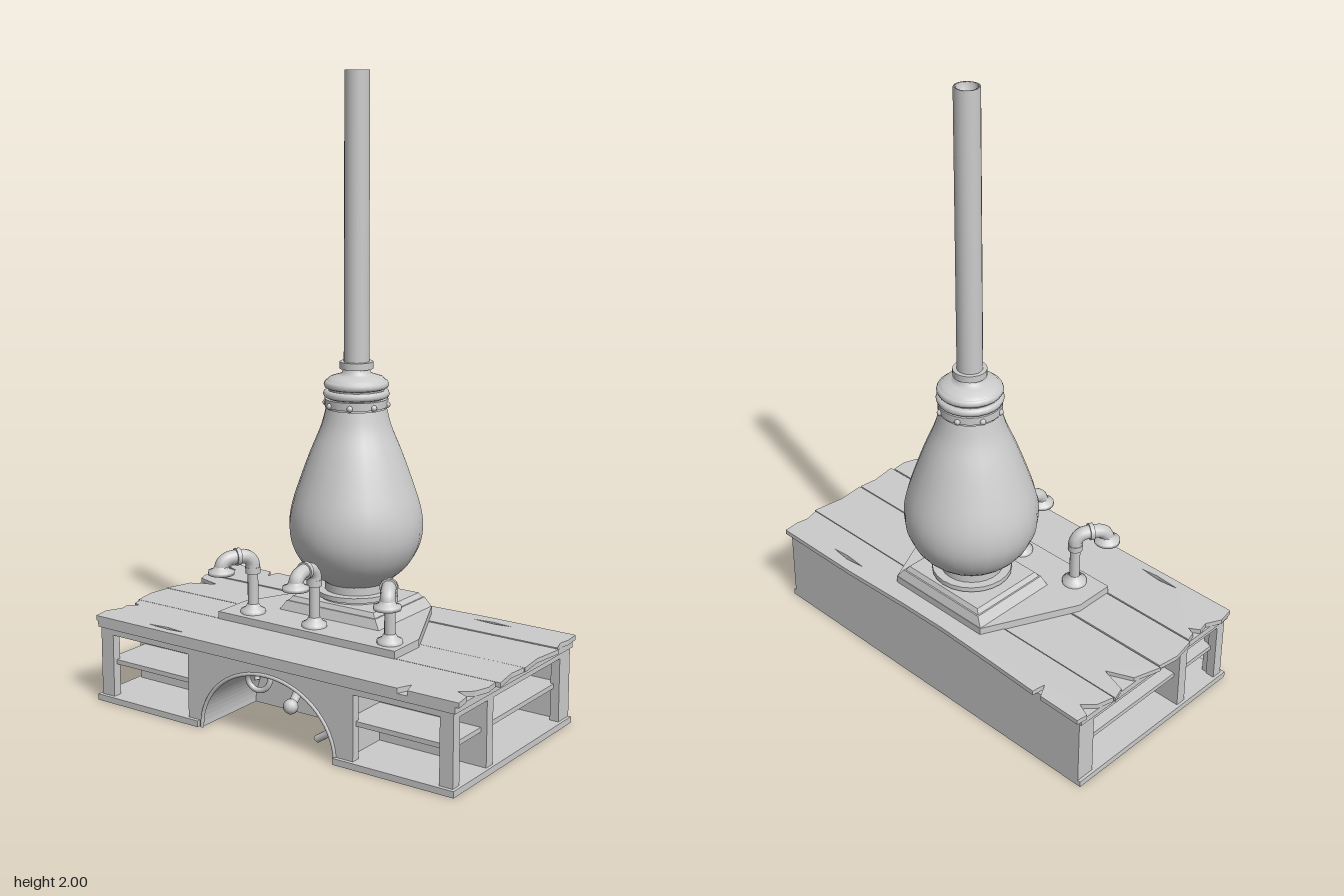
import * as THREE from 'three';

const V2 = (x, y) => new THREE.Vector2(x, y);
const V3 = (x, y, z) => new THREE.Vector3(x, y, z);
const CZ = -0.13; // depth of the boiler axis

export function createModel() {
  const root = new THREE.Group();
  const mat = new THREE.MeshStandardMaterial({ color: 0xcccccc, side: THREE.DoubleSide });

  const add = (name, geo, parent = root) => {
    const m = new THREE.Mesh(geo, mat);
    m.name = name;
    parent.add(m);
    return m;
  };
  const group = (name, parent = root) => {
    const g = new THREE.Group();
    g.name = name;
    parent.add(g);
    return g;
  };
  // box given by its limits
  const box = (name, x0, x1, y0, y1, z0, z1, parent) => {
    const g = new THREE.BoxGeometry(Math.abs(x1 - x0), y1 - y0, z1 - z0);
    g.translate((x0 + x1) / 2, (y0 + y1) / 2, (z0 + z1) / 2);
    return add(name, g, parent);
  };
  const rectHole = (a0, a1, b0, b1) =>
    new THREE.Path([V2(a0, b0), V2(a0, b1), V2(a1, b1), V2(a1, b0)]);
  const extrude = (shape, depth) =>
    new THREE.ExtrudeGeometry(shape, { depth, bevelEnabled: false, curveSegments: 20 });
  // flat slab from a plan of [x, z] pairs
  const slab = (name, plan, y, h, holes = [], parent = root) => {
    const s = new THREE.Shape(plan.map(([x, z]) => V2(x, -z)));
    s.holes.push(...holes);
    const m = add(name, extrude(s, h).rotateX(-Math.PI / 2), parent);
    m.position.y = y;
    return m;
  };
  const lathe = (name, pts, seg, parent = root) =>
    add(name, new THREE.LatheGeometry(pts.map(([r, y]) => V2(r, y)), seg), parent);
  const tube = (name, pts, r, parent, seg = 28) =>
    add(name, new THREE.TubeGeometry(new THREE.CatmullRomCurve3(pts), seg, r, 10), parent);
  const ring = (name, r, y0, y1, parent, seg = 24) => {
    const m = add(name, new THREE.CylinderGeometry(r, r, y1 - y0, seg), parent);
    m.position.y = (y0 + y1) / 2;
    return m;
  };

  // ---- counter body ----
  const counter = group('counter');
  const archedShape = (x0, x1) => {
    const s = new THREE.Shape();
    s.moveTo(x0, 0);
    s.lineTo(-0.245, 0);
    s.absellipse(0.005, 0, 0.25, 0.215, Math.PI, 0, true);
    s.lineTo(x1, 0);
    s.lineTo(x1, 0.265);
    s.lineTo(x0, 0.265);
    s.closePath();
    return s;
  };
  const front = archedShape(-0.66, 0.66);
  front.holes.push(rectHole(-0.61, -0.3, 0.02, 0.225), rectHole(0.32, 0.615, 0.02, 0.225));
  add('frontPanel', extrude(front, 0.03), counter).position.z = 0.32;
  add('archTunnel', extrude(archedShape(-0.28, 0.29), 0.24), counter).position.z = 0.08;
  box('core', -0.28, 0.29, 0, 0.265, -0.34, 0.08, counter);

  // arch rim
  const rimPts = [];
  for (let i = 0; i <= 16; i++) {
    const a = Math.PI * (1 - i / 16);
    rimPts.push(V3(0.005 + 0.252 * Math.cos(a), 0.217 * Math.sin(a), 0.35));
  }
  tube('archRim', rimPts, 0.006, counter, 32);

  for (const s of [-1, 1]) {
    const cab = group(s > 0 ? 'leftCabinet' : 'rightCabinet', counter);
    const side = new THREE.Shape([V2(-0.35, 0), V2(0.34, 0), V2(0.34, 0.265), V2(-0.35, 0.265)]);
    side.holes.push(rectHole(-0.315, -0.165, 0.02, 0.225), rectHole(-0.13, 0.275, 0.02, 0.225));
    const panel = add('sidePanel', extrude(side, 0.03).rotateY(Math.PI / 2), cab);
    panel.position.x = s > 0 ? 0.63 : -0.66;
    const b = (name, x0, x1, ...rest) => box(name, s * x0, s * x1, ...rest, cab);
    b('floor', 0.28, 0.655, 0, 0.02, -0.34, 0.345);
    b('ceiling', 0.28, 0.655, 0.225, 0.264, -0.34, 0.345);
    b('backWall', 0.28, 0.655, 0, 0.264, -0.34, -0.3);
    b('divider', 0.28, 0.645, 0.02, 0.23, 0.13, 0.165);
    b('shelf', 0.28, 0.64, 0.125, 0.14, -0.31, 0.335);
    // base and top trims
    b('frontBaseTrim', 0.255, 0.67, 0, 0.02, 0.345, 0.362);
    b('sideBaseTrim', 0.655, 0.67, 0, 0.02, -0.34, 0.362);
    b('sideTopTrim', 0.655, 0.668, 0.245, 0.265, -0.34, 0.355);
  }
  box('frontTopTrim', -0.668, 0.668, 0.245, 0.265, 0.345, 0.356, counter);

  // ---- weathered plank top ----
  const top = group('plankTop');
  const crack = (x, z, w) => new THREE.Path(
    [V2(x - w, -z), V2(x, -z + 0.008), V2(x + w, -z), V2(x + 0.2 * w, -z - 0.006)]);
  slab('backPlank', [
    [-0.67, -0.362], [-0.52, -0.36], [-0.495, -0.315], [-0.488, -0.36], [-0.3, -0.352], [-0.08, -0.345],
    [0.1, -0.347], [0.35, -0.356], [0.67, -0.356], [0.675, -0.3], [0.668, -0.26], [0.682, -0.214],
    [-0.68, -0.212], [-0.665, -0.27], [-0.63, -0.305], [-0.675, -0.325],
  ], 0.265, 0.016, [crack(0.4, -0.31, 0.07)], top);
  slab('innerBackPlank', [
    [-0.685, -0.208], [0.69, -0.21], [0.676, -0.1], [0.686, -0.007], [-0.692, -0.009],
    [-0.665, -0.1], [-0.58, -0.138], [-0.67, -0.165],
  ], 0.265, 0.014, [], top);
  slab('innerFrontPlank', [
    [-0.685, -0.004], [0.684, -0.004], [0.678, 0.06], [0.692, 0.148], [-0.68, 0.148], [-0.695, 0.07],
  ], 0.265, 0.015, [], top);
  slab('frontPlank', [
    [-0.67, 0.152], [0.678, 0.152], [0.684, 0.2], [0.668, 0.25], [0.63, 0.28], [0.672, 0.3], [0.68, 0.356],
    [0.51, 0.356], [0.495, 0.31], [0.475, 0.356], [-0.675, 0.356], [-0.685, 0.3], [-0.66, 0.25],
    [-0.668, 0.215], [-0.635, 0.195], [-0.662, 0.185],
  ], 0.265, 0.016, [crack(-0.41, 0.325, 0.075)], top);

  // ---- boiler stand ----
  slab('mountPlate', [
    [-0.335, 0.155], [0.335, 0.155], [0.335, 0.02], [0.19, -0.285], [-0.19, -0.285], [-0.335, 0.02],
  ], 0.279, 0.026);
  const boiler = group('boiler');
  boiler.position.z = CZ;
  // square tapered step: half widths at bottom and top
  const step = (name, w0, w1, d0, d1, y0, y1) => {
    const g = new THREE.BoxGeometry(2, y1 - y0, 2);
    const p = g.attributes.position;
    for (let i = 0; i < p.count; i++) {
      const up = p.getY(i) > 0;
      p.setX(i, p.getX(i) * (up ? w1 : w0));
      p.setZ(i, p.getZ(i) * (up ? d1 : d0));
    }
    g.computeVertexNormals();
    g.translate(0, (y0 + y1) / 2, 0);
    add(name, g, boiler);
  };
  step('lowerStep', 0.19, 0.17, 0.153, 0.143, 0.305, 0.335);
  step('upperStep', 0.165, 0.155, 0.138, 0.13, 0.335, 0.35);
  ring('standRing', 0.115, 0.345, 0.358, boiler);
  ring('neckRing', 0.128, 0.358, 0.374, boiler);
  ring('neck', 0.1, 0.37, 0.4, boiler);

  // pear-shaped vessel
  const profile = new THREE.SplineCurve([
    [0.07, 0.382], [0.115, 0.41], [0.17, 0.46], [0.203, 0.52], [0.213, 0.58], [0.205, 0.645],
    [0.178, 0.73], [0.145, 0.82], [0.112, 0.9], [0.096, 0.96],
  ].map(([r, y]) => V2(r, y))).getPoints(30);
  add('vessel', new THREE.LatheGeometry(profile, 24), boiler);

  // collar
  ring('collarBand', 0.09, 0.955, 0.975, boiler);
  ring('collarLowerRing', 0.1, 0.965, 0.99, boiler);
  ring('collarCore', 0.088, 0.99, 1.05, boiler);
  for (const [y, r] of [[1.005, 0.092], [1.035, 0.09]]) {
    const t = add('collarRoll', new THREE.TorusGeometry(r, 0.013, 8, 24).rotateX(Math.PI / 2), boiler);
    t.position.y = y;
  }
  for (let i = 0; i < 8; i++) {
    const a = (i + 0.5) * Math.PI / 4;
    add('collarRivet', new THREE.SphereGeometry(0.01, 8, 6), boiler)
      .position.set(0.099 * Math.sin(a), 0.972, 0.099 * Math.cos(a));
  }
  lathe('collarCap', [[0.095, 1.045], [0.085, 1.056], [0.06, 1.064], [0.045, 1.07], [0.042, 1.09]], 24, boiler);
  ring('chimneyFlange', 0.053, 1.084, 1.106, boiler);
  // hollow chimney pipe
  lathe('chimney', [[0.04, 1.07], [0.039, 2], [0.031, 2], [0.031, 1.95], [0, 1.95]], 18, boiler);

  // ---- swan-neck taps: [base x, base z, spout x, spout z] ----
  const taps = [[-0.24, 0.097, -0.293, 0.19], [0, 0.097, 0, 0.193], [0.28, 0.097, 0.332, 0.19]];
  for (const [bx, bz, sx, sz] of taps) {
    const tap = group('tap');
    tap.position.set(bx, 0, bz);
    tap.rotation.y = Math.atan2(sx - bx, sz - bz);
    const len = Math.hypot(sx - bx, sz - bz);
    lathe('tapFoot', [[0.04, 0.303], [0.04, 0.315], [0.026, 0.322], [0.018, 0.335]], 16, tap);
    ring('tapStem', 0.017, 0.31, 0.45, tap, 12);
    ring('tapCollar', 0.024, 0.435, 0.455, tap, 14);
    tube('tapBend', [V3(0, 0.445, 0), V3(0, 0.472, 0.003), V3(0, 0.49, 0.02), V3(0, 0.494, len * 0.5),
      V3(0, 0.489, len - 0.02), V3(0, 0.475, len - 0.004), V3(0, 0.455, len)], 0.023, tap);
    const joint = add('tapJoint', new THREE.CylinderGeometry(0.028, 0.028, 0.014, 14).rotateX(Math.PI / 2), tap);
    joint.position.set(0, 0.494, len * 0.48);
    const spout = lathe('tapSpout', [[0.022, 0.47], [0.028, 0.46], [0.042, 0.455], [0.042, 0.444],
      [0.026, 0.444], [0.02, 0.46], [0, 0.46]], 16, tap);
    spout.position.z = len;
  }

  // ---- pipes hanging under the arch ----
  const pipes = group('archPipes');
  tube('dropPipe', [V3(0, 0.225, 0.16), V3(0, 0.16, 0.17), V3(0, 0.11, 0.19), V3(0, 0.08, 0.22)], 0.014, pipes);
  add('dropPipeEnd', new THREE.SphereGeometry(0.024, 12, 8), pipes).position.set(0, 0.08, 0.222);
  const curl = [V3(-0.19, 0.165, 0.2), V3(-0.15, 0.185, 0.2)];
  for (let i = 0; i <= 12; i++) {
    const a = 1.2 - i * 0.6;
    const r = 0.05 - i * 0.0027;
    curl.push(V3(-0.135 + r * Math.cos(a), 0.14 + r * Math.sin(a), 0.2 + i * 0.003));
  }
  tube('curledPipe', curl, 0.009, pipes, 60);
  tube('hookPipe', [V3(0.135, 0.115, 0.08), V3(0.135, 0.115, 0.2), V3(0.15, 0.13, 0.24), V3(0.18, 0.13, 0.25),
    V3(0.185, 0.09, 0.25), V3(0.165, 0.045, 0.25), V3(0.12, 0.012, 0.25)], 0.012, pipes, 40);
  const flange = add('hookPipeFlange', new THREE.CylinderGeometry(0.024, 0.024, 0.015, 14).rotateX(Math.PI / 2), pipes);
  flange.position.set(0.135, 0.115, 0.09);

  return root;
}
